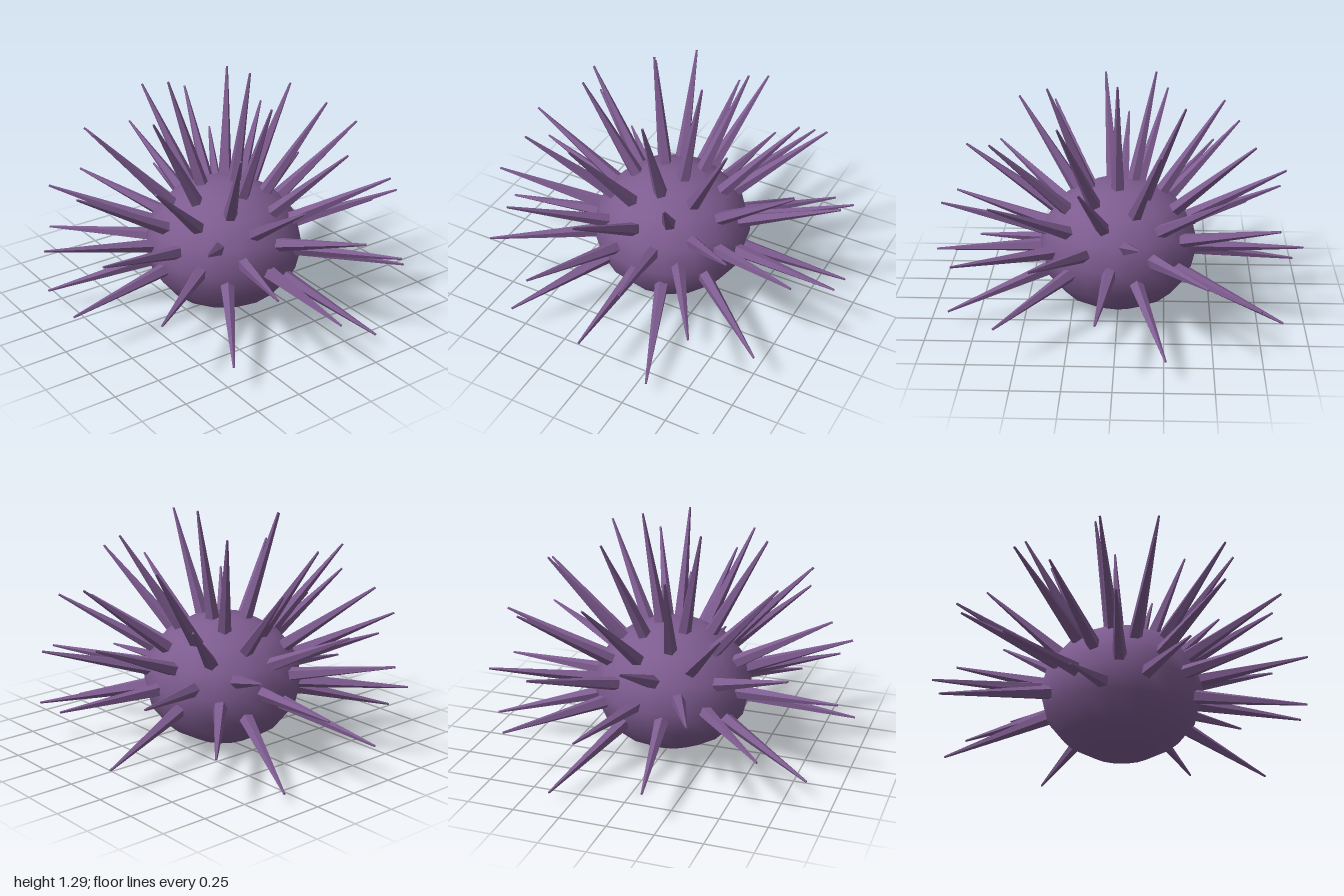
import * as THREE from 'three';

const SPINES = 46;
const GOLDEN_ANGLE = Math.PI * (3 - Math.sqrt(5));
const CENTRE_Y = 0.356;

export function createModel() {
  const group = new THREE.Group();
  group.name = 'seaUrchin';
  const purple = new THREE.MeshStandardMaterial({ color: 0x7e5c90 });
  purple.name = 'urchin purple';

  // Body: slightly flattened ball
  const bodyGeometry = new THREE.SphereGeometry(1, 16, 8);
  bodyGeometry.scale(0.43, 0.356, 0.43);
  const body = new THREE.Mesh(bodyGeometry, purple);
  body.name = 'body';
  body.position.y = CENTRE_Y;
  group.add(body);

  // Spines: five-sided tapered needles on a golden-angle spiral,
  // from the top down to a little below the equator
  const unitSpine = new THREE.CylinderGeometry(0.006, 0.039, 1, 5).translate(0, 0.5, 0).toNonIndexed();
  unitSpine.computeVertexNormals();
  const up = new THREE.Vector3(0, 1, 0);
  const spines = new THREE.Group();
  spines.name = 'spines';
  for (let i = 0; i < SPINES; i++) {
    const y = 1 - 1.33 * (i + 0.5) / SPINES;
    const r = Math.sqrt(1 - y * y);
    const a = -GOLDEN_ANGLE * i;
    const outward = new THREE.Vector3(r * Math.cos(a), y, r * Math.sin(a));
    const base = outward.clone().multiply(new THREE.Vector3(0.4, 0.33, 0.4));
    const tip = outward.clone().multiply(new THREE.Vector3(1, 0.945, 1));
    const along = tip.clone().sub(base);
    const spine = new THREE.Mesh(unitSpine, purple);
    spine.name = 'spine' + (i + 1);
    spine.scale.y = along.length();
    spine.quaternion.setFromUnitVectors(up, along.normalize());
    spine.position.copy(base);
    spine.position.y += CENTRE_Y;
    spines.add(spine);
  }
  group.add(spines);
  return group;
}
